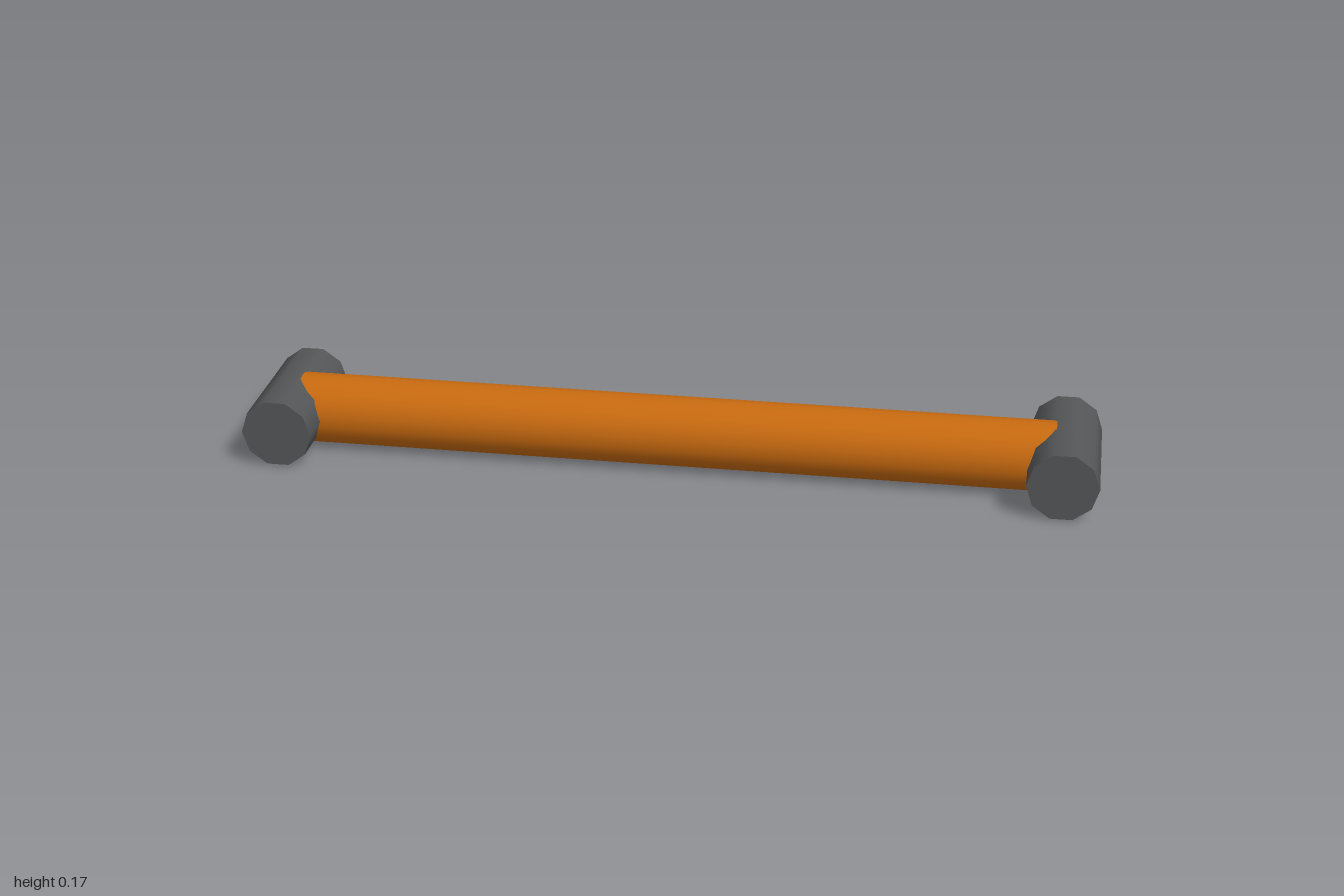
import * as THREE from 'three';

export function createModel() {
  const group = new THREE.Group();
  const radius = 0.083;
  const orange = new THREE.MeshStandardMaterial({ color: 0xc86a10 });
  const grey = new THREE.MeshStandardMaterial({ color: 0x555657 });

  // Long bar lying along x, its ends sunk into the end rollers
  const barGeometry = new THREE.CylinderGeometry(radius, radius, 1.79, 18);
  barGeometry.rotateY(Math.PI / 2).rotateZ(Math.PI / 2);
  const bar = new THREE.Mesh(barGeometry, orange);
  bar.name = 'bar';
  bar.position.y = radius;
  group.add(bar);

  // Short ten-sided cross cylinder at each end, lying along z
  for (const side of [-1, 1]) {
    const geometry = new THREE.CylinderGeometry(radius, radius, 0.33, 10);
    geometry.rotateY(Math.PI / 2).rotateX(Math.PI / 2);
    const end = new THREE.Mesh(geometry, grey);
    end.name = side > 0 ? 'leftEnd' : 'rightEnd';
    end.position.set(side * (1 - radius), radius, 0);
    group.add(end);
  }
  return group;
}
